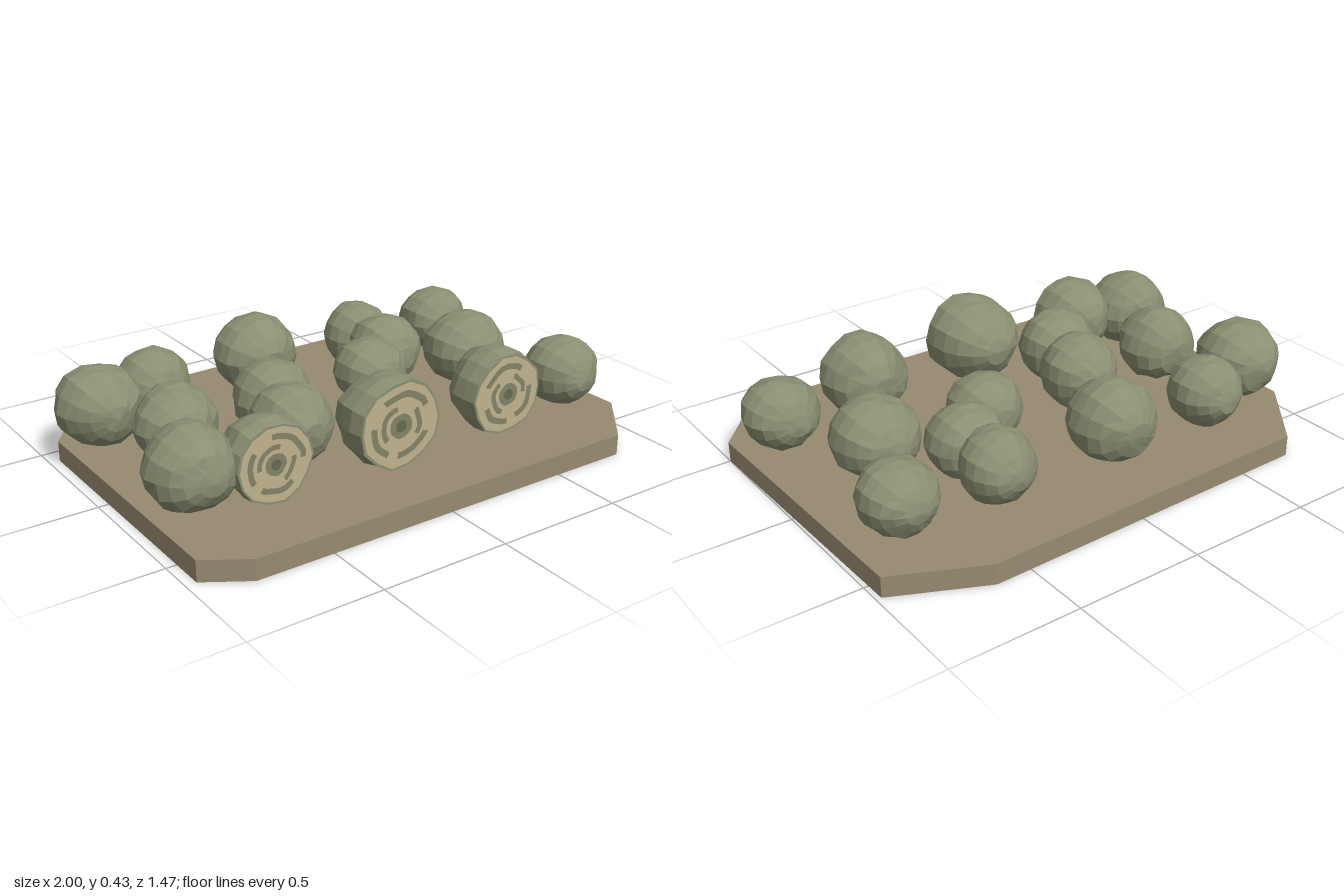
import * as THREE from 'three';
import { mergeVertices } from 'three/addons/utils/BufferGeometryUtils.js';

const SEGS = 14;
const mat = (color) => new THREE.MeshStandardMaterial({ color, flatShading: true, roughness: 1 });

// Small lumps that depend on direction, so caps can follow the same outline
function lump(x, y, z, seed) {
  return 1 + 0.022 * Math.sin(4.1 * x + 2.3 * y + seed * 1.7)
    + 0.018 * Math.sin(6.3 * y - 3.7 * z + seed * 2.9)
    + 0.016 * Math.sin(9.7 * z + 7.9 * x - 5.3 * y + seed * 4.3);
}

// Faceted ball with poles along z; everything past the cut is flattened
function ballGeometry(rx, ry, rz, seed, cut = Infinity) {
  const sphere = new THREE.SphereGeometry(1, SEGS, 10).rotateX(Math.PI / 2);
  sphere.deleteAttribute('uv');
  sphere.deleteAttribute('normal');
  const g = mergeVertices(sphere, 1e-3);
  const p = g.attributes.position;
  for (let i = 0; i < p.count; i++) {
    const x = p.getX(i), y = p.getY(i), z = p.getZ(i);
    const k = lump(x, y, z, seed);
    p.setXYZ(i, x * k * rx, y * k * ry, Math.min(z * k * rz, cut));
  }
  g.computeVertexNormals();
  return g;
}

// Flat band between two relative radii, following the lumpy outline
function bandGeometry(rx, ry, seed, inner, outer, start, sweep) {
  const g = new THREE.RingGeometry(inner, outer, sweep > 6 ? SEGS : 8, 1, start, sweep);
  const p = g.attributes.position;
  for (let i = 0; i < p.count; i++) {
    const x = p.getX(i), y = p.getY(i), r = Math.hypot(x, y) || 1;
    const k = lump(x / r, y / r, 0.28, seed);
    p.setXY(i, x * k * rx, y * k * ry);
  }
  return g;
}

export function createModel() {
  const root = new THREE.Group();
  const rind = mat(0x8b8f72), wood = mat(0x978a70);
  const cream = mat(0xbfb38f), vein = mat(0x828365), core = mat(0x65694f);

  // Board with clipped corners
  const outline = [[-0.96, 0.63], [-0.8, 0.73], [0.8, 0.73], [1, 0.5],
    [0.98, -0.58], [0.64, -0.74], [-0.73, -0.71], [-0.96, -0.42]];
  const shape = new THREE.Shape(outline.map(([x, z]) => new THREE.Vector2(x, -z)));
  const board = new THREE.Mesh(
    new THREE.ExtrudeGeometry(shape, { depth: 0.08, bevelEnabled: false }).rotateX(-Math.PI / 2), wood);
  board.name = 'board';
  root.add(board);

  // Whole balls: x, z, radius, height radius
  [[-0.83, -0.32, 0.168, 0.155], [-0.55, -0.43, 0.142, 0.14], [-0.09, -0.43, 0.166, 0.16],
    [0.41, -0.42, 0.141, 0.14], [0.405, -0.215, 0.15, 0.14], [0.795, -0.39, 0.142, 0.138],
    [-0.67, -0.02, 0.155, 0.15], [-0.255, -0.03, 0.155, 0.15], [0.205, -0.045, 0.146, 0.138],
    [0.66, -0.02, 0.165, 0.152], [-0.8, 0.32, 0.165, 0.155], [-0.325, 0.205, 0.155, 0.15],
    [0.837, 0.365, 0.147, 0.138],
  ].forEach(([x, z, r, ry], i) => {
    const ball = new THREE.Mesh(ballGeometry(r, ry, r, i + 1), rind);
    ball.position.set(x, 0.08 + ry, z);
    ball.name = 'wholeBall';
    root.add(ball);
  });

  // Marks on the cut faces: inner and outer radius, start angle, sweep, material, layer
  const marks = [
    [0, 0.9, 0, Math.PI * 2, cream, 1],
    [0.6, 0.74, 0.0, 1.7, vein, 2],
    [0.58, 0.72, 2.5, 1.2, vein, 2],
    [0.56, 0.7, 4.1, 1.3, vein, 2],
    [0.36, 0.48, 1.3, 2.0, vein, 2],
    [0.38, 0.5, 5.2, 1.3, vein, 2],
    [0, 0.27, 0, Math.PI * 2, vein, 2],
    [0, 0.13, 0, Math.PI * 2, core, 3],
  ];

  // Cut balls: x, face z, width radius, height radius, depth radius
  [[-0.56, 0.47, 0.158, 0.155, 0.185], [-0.06, 0.5, 0.18, 0.176, 0.21],
    [0.457, 0.48, 0.168, 0.165, 0.195],
  ].forEach(([x, faceZ, rx, ry, rz], i) => {
    const seed = i + 20, cut = rz * 0.29;
    const half = new THREE.Group();
    half.name = 'cutBall';
    half.position.set(x, 0.08 + ry, faceZ - cut);
    const shell = new THREE.Mesh(ballGeometry(rx, ry, rz, seed, cut), rind);
    shell.name = 'rind';
    half.add(shell);
    for (const [inner, outer, start, sweep, material, layer] of marks) {
      const mark = new THREE.Mesh(
        bandGeometry(rx, ry, seed, inner, outer, start + (layer === 2 ? i * 0.5 : 0), sweep), material);
      mark.position.z = cut + layer * 0.0015;
      mark.name = material === cream ? 'cutFace' : material === core ? 'core' : 'vein';
      half.add(mark);
    }
    root.add(half);
  });
  return root;
}
